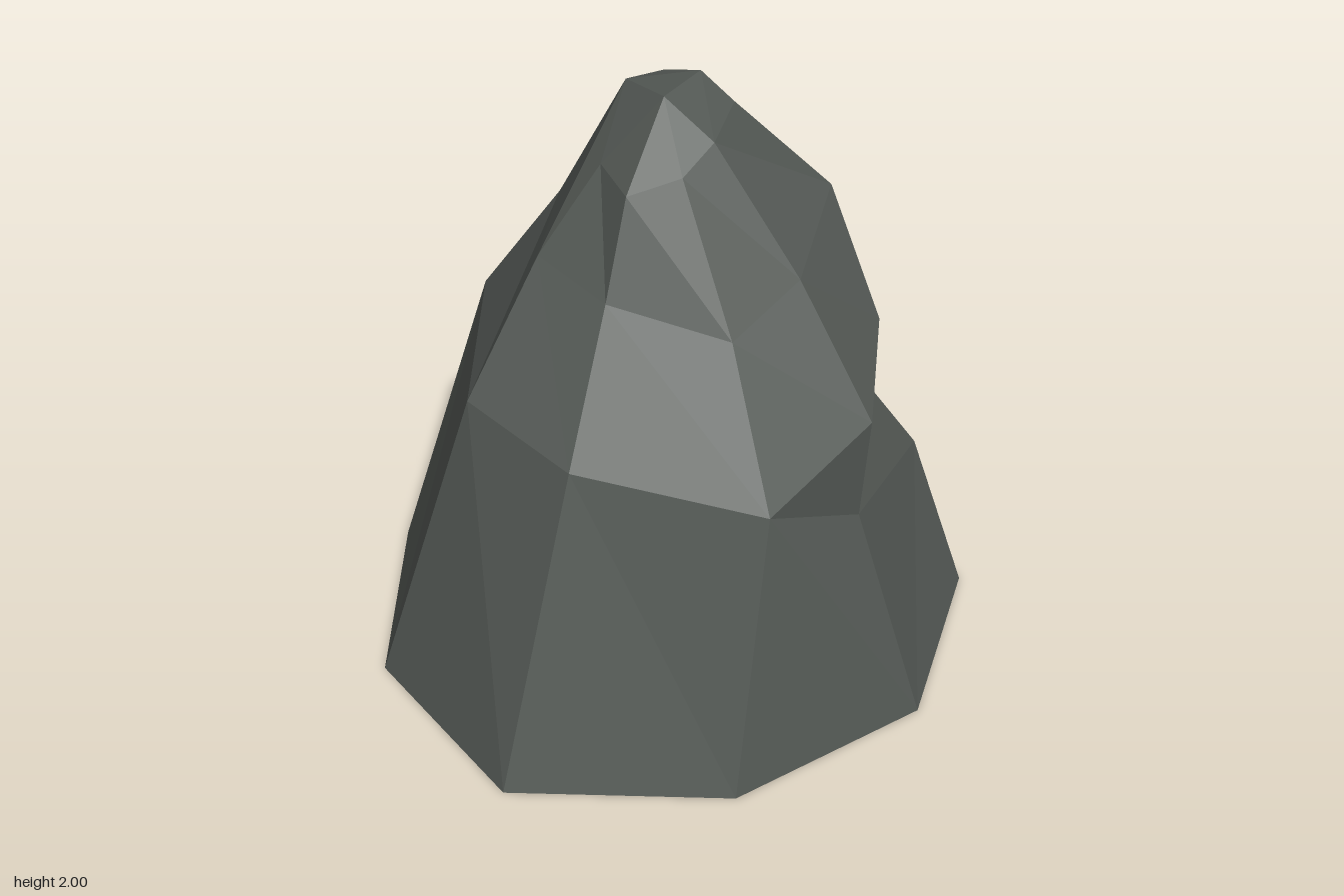
import * as THREE from 'three';

// Eight ridges running up the rock, counterclockwise from the front.
// Each has its points from base to tip, and the point used on each of seven rings.
const ridges = [
  { use: '0011234', pts: [[0, 0, 0.99], [0.07, 1.07, 0.66], [0.01, 1.47, 0.32], [0, 1.77, 0.17], [0, 2, -0.07]] },
  { use: '0011234', pts: [[0.66, 0, 0.66], [0.65, 0.97, 0.45], [0.385, 1.38, 0.2], [0.13, 1.81, 0.05], [0, 2, -0.07]] },
  { use: '0012344', pts: [[0.99, 0, 0], [0.745, 0.72, 0], [0.77, 1.08, -0.01], [0.47, 1.47, -0.09], [0.17, 1.88, -0.08]] },
  { use: '0123455', pts: [[0.83, 0, -0.7], [0.63, 0.52, -0.7], [0.53, 0.78, -0.56], [0.59, 1.16, -0.44], [0.36, 1.55, -0.53], [0.17, 1.96, -0.21]] },
  { use: '0011233', pts: [[0, 0, -0.99], [0, 1.05, -0.65], [0, 1.45, -0.73], [0, 1.975, -0.31]] },
  { use: '0012233', pts: [[-0.66, 0, -0.66], [-0.47, 0.89, -0.54], [-0.37, 1.3, -0.66], [-0.14, 1.93, -0.33]] },
  { use: '0011233', pts: [[-0.99, 0, 0], [-0.77, 1, -0.23], [-0.5, 1.41, -0.28], [-0.2, 1.95, -0.19]] },
  { use: '0011234', pts: [[-0.66, 0, 0.66], [-0.39, 1.085, 0.5], [-0.3, 1.486, 0.2], [-0.165, 1.77, 0.035], [0, 2, -0.07]] },
];

const pointAt = (ridge, ring) => {
  const { use, pts } = ridges[ridge % ridges.length];
  return pts[Number(use[ring])];
};

// Collects triangles, dropping those whose corners coincide.
function facetGeometry(triangles) {
  const same = (p, q) => p.every((v, i) => v === q[i]);
  const solid = triangles.filter(([a, b, c]) => !same(a, b) && !same(b, c) && !same(c, a));
  const geometry = new THREE.BufferGeometry();
  geometry.setAttribute('position', new THREE.Float32BufferAttribute(solid.flat(2), 3));
  geometry.computeVertexNormals();
  return geometry;
}

export function createModel() {
  const group = new THREE.Group();
  group.name = 'rock';
  const stone = new THREE.MeshStandardMaterial({ color: 0x565b57, side: THREE.DoubleSide });
  stone.name = 'dark stone';
  stone.flatShading = true;

  // Sides: skin between neighbouring ridges, open underneath
  const sides = [];
  for (let i = 0; i < ridges.length; i++) {
    for (let j = 0; j < 6; j++) {
      const a = pointAt(i, j), b = pointAt(i + 1, j);
      const c = pointAt(i + 1, j + 1), d = pointAt(i, j + 1);
      sides.push([a, b, d], [b, c, d]);
    }
  }
  const body = new THREE.Mesh(facetGeometry(sides), stone);
  body.name = 'rockSides';

  // Summit: fan around the back tip
  const tip = (i) => pointAt(i, 6);
  const fan = [[2, 3], [0, 2], [6, 0], [5, 6]].map(([p, q]) => [tip(4), tip(p), tip(q)]);
  const summit = new THREE.Mesh(facetGeometry(fan), stone);
  summit.name = 'rockSummit';

  group.add(body, summit);
  return group;
}
